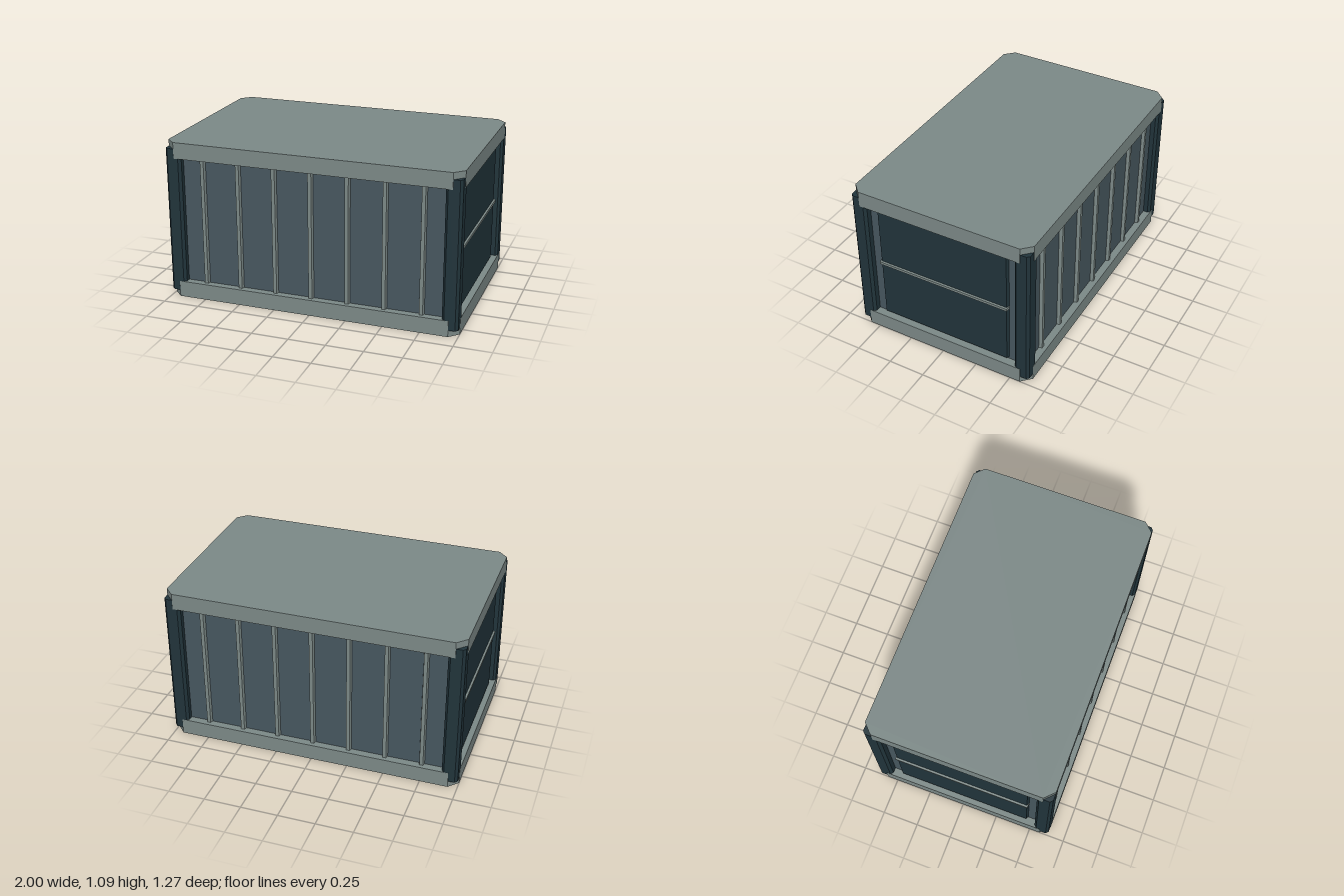
import * as THREE from 'three';

const frameGrey = new THREE.MeshStandardMaterial({ name: 'frameGrey', color: 0x7c8987 });
const wallSlate = new THREE.MeshStandardMaterial({ name: 'wallSlate', color: 0x47575f });
const postDark = new THREE.MeshStandardMaterial({ name: 'postDark', color: 0x21343b });

const H = 1.09, HALF_Z = 0.635;

function addMesh(parent, name, geometry, material, x = 0, y = 0, z = 0) {
  const mesh = new THREE.Mesh(geometry, material);
  mesh.name = name;
  mesh.position.set(x, y, z);
  parent.add(mesh);
  return mesh;
}

// Upright prism with cut corners, base on y = 0
function chamferedPrism(w, d, c, h) {
  const x = w / 2, z = d / 2;
  const outline = [
    [x - c, -z], [x, -z + c], [x, z - c], [x - c, z],
    [-x + c, z], [-x, z - c], [-x, -z + c], [-x + c, -z],
  ].map(([a, b]) => new THREE.Vector2(a, b));
  const geometry = new THREE.ExtrudeGeometry(new THREE.Shape(outline), { depth: h, bevelEnabled: false });
  return geometry.rotateX(-Math.PI / 2);
}

// Box on the z = 0 plane whose outer (+z) face is narrowed by a sloped edge
function taperedPlate(w, h, depth, inX, inY) {
  const geometry = new THREE.BoxGeometry(w, h, depth).translate(0, 0, depth / 2).toNonIndexed();
  const p = geometry.attributes.position;
  for (let i = 0; i < p.count; i++) {
    if (p.getZ(i) < depth / 2) continue;
    p.setX(i, p.getX(i) - Math.sign(p.getX(i)) * inX);
    p.setY(i, p.getY(i) - Math.sign(p.getY(i)) * inY);
  }
  geometry.computeVertexNormals();
  return geometry;
}

export function createModel() {
  const model = new THREE.Group();
  model.name = 'storageContainer';

  // Floor and roof slabs
  const slab = chamferedPrism(2, HALF_Z * 2, 0.063, 0.11);
  addMesh(model, 'floorSlab', slab, frameGrey);
  addMesh(model, 'roofSlab', slab, frameGrey, 0, H - 0.11);

  // Inner body behind the ribs and doors
  addMesh(model, 'wallBody', new THREE.BoxGeometry(1.89, 0.9, 1.17), wallSlate, 0, H / 2, 0);

  // Corner posts showing past the cut slab corners
  const post = chamferedPrism(0.108, 0.105, 0.017, 1.0);
  for (const sx of [-1, 1]) {
    for (const sz of [-1, 1]) {
      addMesh(model, 'cornerPost', post, postDark, sx * 0.945, 0.045, sz * 0.5815);
    }
  }

  // Vertical ribs on both long walls
  const rib = taperedPlate(0.036, 0.88, 0.022, 0.006, 0);
  for (const turn of [0, Math.PI]) {
    const side = new THREE.Group();
    side.name = turn ? 'backRibs' : 'frontRibs';
    side.rotation.y = turn;
    for (let i = -3; i <= 3; i++) addMesh(side, 'wallRib', rib, frameGrey, i * 0.25, H / 2, 0.585);
    model.add(side);
  }

  // Door panel and cross rail at each end
  const door = taperedPlate(0.94, 0.845, 0.022, 0.009, 0.003);
  const rail = taperedPlate(0.944, 0.024, 0.036, 0.004, 0.003);
  for (const s of [-1, 1]) {
    const end = new THREE.Group();
    end.name = s > 0 ? 'leftEnd' : 'rightEnd';
    end.rotation.y = s * Math.PI / 2;
    addMesh(end, 'doorPanel', door, postDark, 0, 0.5475, 0.944);
    addMesh(end, 'doorRail', rail, frameGrey, 0, 0.548, 0.944);
    model.add(end);
  }

  return model;
}
